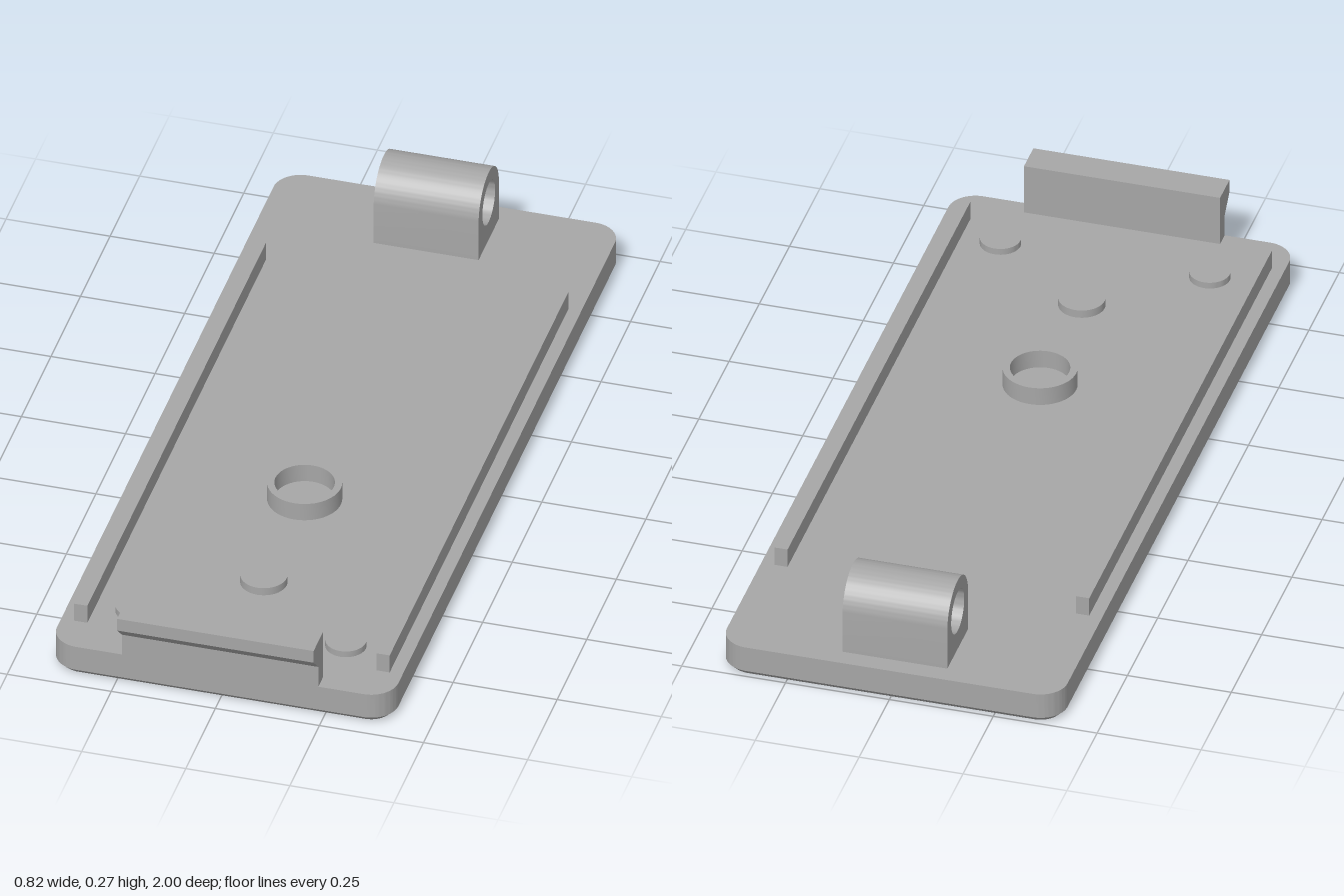
import * as THREE from 'three';
import { toCreasedNormals } from 'three/addons/utils/BufferGeometryUtils.js';

const TOP = 0.08;      // upper face of the plate
const CHAMFER = 0.015; // height and inset of the lower edge, also the recess depth

// Outline in x/z: rounded corners about fixed corner centres
const CX = 0.345, CZ0 = -0.935, CZ1 = 0.895;
function plateOutline(r) {
  const s = new THREE.Shape();
  s.absarc(CX, CZ1, r, 0, Math.PI / 2);
  s.absarc(-CX, CZ1, r, Math.PI / 2, Math.PI);
  s.absarc(-CX, CZ0, r, Math.PI, Math.PI * 1.5);
  s.absarc(CX, CZ0, r, Math.PI * 1.5, Math.PI * 2);
  s.closePath();
  return s;
}

function polygon(points, Type = THREE.Shape) {
  return new Type(points.map(([x, y]) => new THREE.Vector2(x, y)));
}

// Extrude an x/z shape upward from y0 to y1
function slab(shape, y0, y1, curveSegments = 12) {
  const g = new THREE.ExtrudeGeometry(shape, { depth: y1 - y0, bevelEnabled: false, curveSegments });
  return g.rotateX(Math.PI / 2).translate(0, y1, 0);
}

// Extrude a side profile, drawn as (-z, y), across the width
function across(shape, width, curveSegments = 24) {
  const g = new THREE.ExtrudeGeometry(shape, { depth: width, bevelEnabled: false, curveSegments });
  return g.translate(0, 0, -width / 2).rotateY(Math.PI / 2);
}

export function createModel() {
  const group = new THREE.Group();
  const grey = new THREE.MeshStandardMaterial({ color: 0xa6a6a6 });
  grey.name = 'grey plastic';

  function add(name, geometry) {
    const mesh = new THREE.Mesh(toCreasedNormals(geometry, 0.55), grey);
    mesh.name = name;
    group.add(mesh);
    return mesh;
  }

  // Main plate
  add('plate', slab(plateOutline(0.065), CHAMFER, TOP));

  // Chamfered underside with grip grooves and an arrow recess
  const under = plateOutline(0.065 - CHAMFER);
  for (let i = 0; i < 7; i++) {
    const z = -0.39 + i * 0.161, h = 0.01, w = 0.34;
    under.holes.push(polygon([[-w, z - h], [w, z - h], [w, z + h], [-w, z + h]], THREE.Path));
  }
  under.holes.push(polygon([[-0.09, -0.565], [0.09, -0.565], [0, -0.725]], THREE.Path));
  const underGeo = slab(under, 0, CHAMFER);
  const p = underGeo.attributes.position;
  for (let i = 0; i < p.count; i++) {
    const x = p.getX(i), z = p.getZ(i);
    const cx = THREE.MathUtils.clamp(x, -CX, CX), cz = THREE.MathUtils.clamp(z, CZ0, CZ1);
    // Push the outer upper edge outward to meet the plate
    if (p.getY(i) > CHAMFER / 2 && Math.hypot(x - cx, z - cz) > 0.045) {
      const k = 0.065 / (0.065 - CHAMFER);
      p.setX(i, cx + (x - cx) * k);
      p.setZ(i, cz + (z - cz) * k);
    }
  }
  add('underside', underGeo);

  // Side rails and front pads
  for (const [side, s] of [['left', 1], ['right', -1]]) {
    add(side + 'Rail', new THREE.BoxGeometry(0.032, 0.048, 1.51).translate(s * 0.363, TOP + 0.024, 0.105));
    add(side + 'Pad', new THREE.CylinderGeometry(0.048, 0.048, 0.016, 40).translate(s * 0.252, TOP + 0.008, 0.783));
  }
  add('centrePad', new THREE.CylinderGeometry(0.055, 0.055, 0.02, 40).translate(0, TOP + 0.01, 0.59));

  // Raised ring
  const ring = new THREE.Shape().absarc(0, 0.245, 0.087, 0, Math.PI * 2);
  ring.holes.push(new THREE.Path().absarc(0, 0.245, 0.07, 0, Math.PI * 2));
  add('ring', slab(ring, TOP, TOP + 0.046, 24));

  // Front latch with an outward hook
  add('latch', across(polygon([
    [-0.96, TOP], [-0.922, TOP], [-0.922, 0.208], [-1, 0.208], [-1, 0.175], [-0.96, 0.136],
  ]), 0.472));

  // Rear hinge lug with a pin hole
  const hx = 0.868, hy = 0.184, r = 0.086;
  const lug = new THREE.Shape();
  lug.moveTo(hx - r, TOP);
  lug.lineTo(hx + r, TOP);
  lug.absarc(hx, hy, r, 0, Math.PI);
  lug.closePath();
  lug.holes.push(new THREE.Path().absarc(hx, hy, 0.054, 0, Math.PI * 2));
  add('hingeLug', across(lug, 0.252));

  return group;
}
